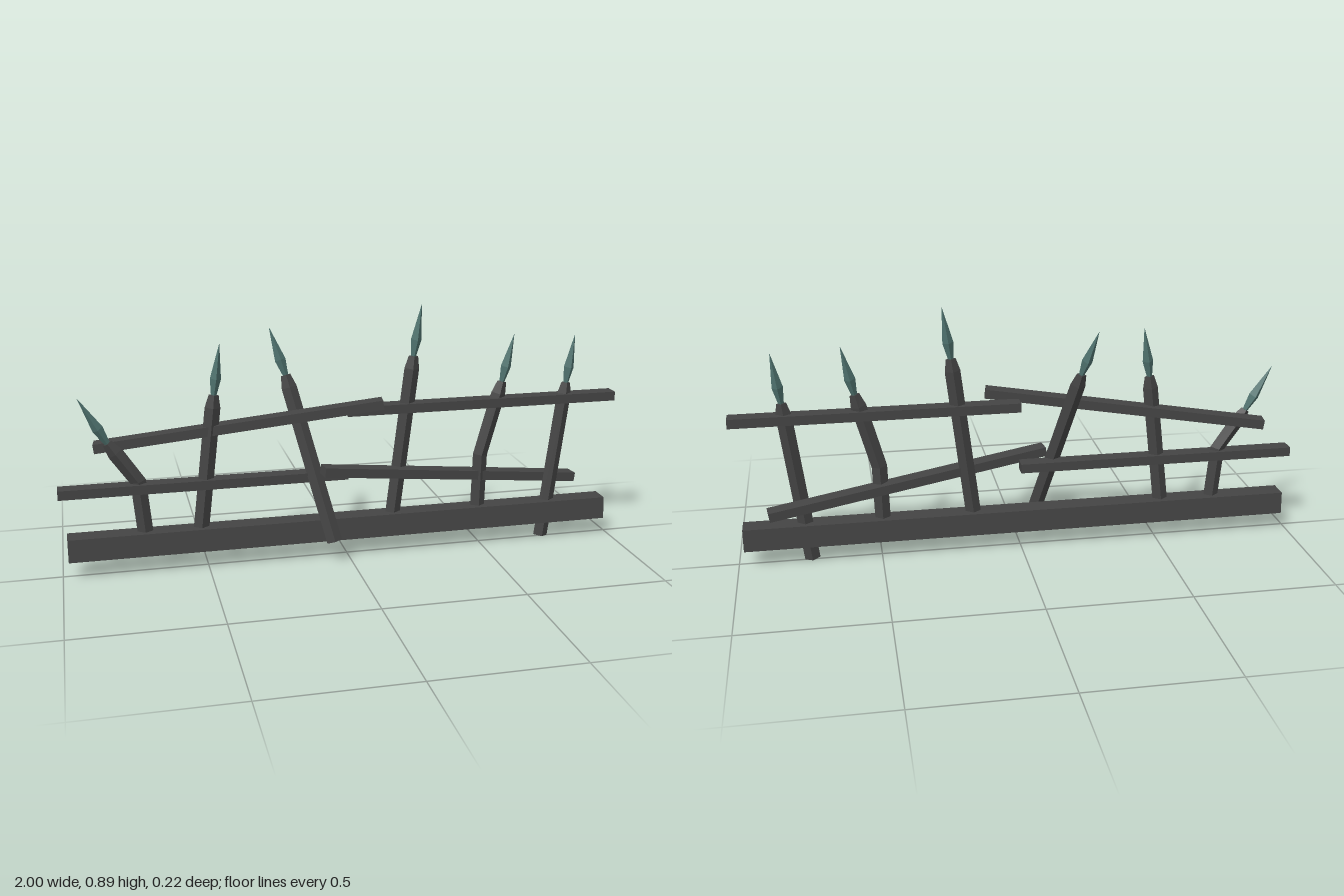
import * as THREE from 'three';

const iron = new THREE.MeshStandardMaterial({ color: 0x444444 });
iron.name = 'darkIron';
const teal = new THREE.MeshStandardMaterial({ color: 0x4e716d });
teal.name = 'tealMetal';

// Four-sided bar through a list of points; radii = [across, depth] at each point
function diamondBar(points, radii) {
  const pts = points.map((p) => new THREE.Vector3(...p));
  const rings = pts.map((p, i) => {
    const dir = pts[Math.min(i + 1, pts.length - 1)].clone().sub(pts[Math.max(i - 1, 0)]).normalize();
    const u = new THREE.Vector3(dir.y, -dir.x, 0).normalize();
    const w = u.clone().cross(dir);
    const [a, b] = radii[i];
    return [[a, 0], [0, -b], [-a, 0], [0, b]].map(([s, t]) =>
      p.clone().addScaledVector(u, s).addScaledVector(w, t));
  });
  const pos = [];
  const tri = (...vs) => vs.forEach((v) => pos.push(v.x, v.y, v.z));
  const quad = (a, b, c, d) => { tri(a, b, c); tri(a, c, d); };
  for (let i = 0; i < rings.length - 1; i++) {
    for (let k = 0; k < 4; k++) {
      const n = (k + 1) % 4;
      quad(rings[i][k], rings[i][n], rings[i + 1][n], rings[i + 1][k]);
    }
  }
  const [a, b, c, d] = rings[0];
  quad(d, c, b, a);
  quad(...rings[rings.length - 1]);
  const geo = new THREE.BufferGeometry();
  geo.setAttribute('position', new THREE.Float32BufferAttribute(pos, 3));
  geo.computeVertexNormals();
  return geo;
}

function add(parent, name, geo, mat) {
  const mesh = new THREE.Mesh(geo, mat);
  mesh.name = name;
  parent.add(mesh);
  return mesh;
}

const lerp = (a, b, t) => a.map((v, i) => v + (b[i] - v) * t);

export function createModel() {
  const group = new THREE.Group();
  group.name = 'spikedFence';

  // Ground beam, slightly narrower at the top
  const beam = new THREE.BoxGeometry(1.956, 0.08, 0.082);
  const bp = beam.attributes.position;
  for (let i = 0; i < bp.count; i++) if (bp.getY(i) > 0) bp.setZ(i, bp.getZ(i) * 0.88);
  beam.computeVertexNormals();
  add(group, 'groundBeam', beam, iron).position.set(0, 0.105, 0);

  // Rails: centre x, centre y, turn about y, turn about z
  const rails = [
    ['upperLeftRail', 0.5, 0.532, 0, 0],
    ['lowerRightRail', -0.5, 0.303, 0, 0],
    ['upperSlantedRail', -0.378, 0.503, -0.13, 0.13],
    ['lowerSlantedRail', 0.393, 0.273, 0.13, -0.13],
  ];
  for (const [name, x, y, ry, rz] of rails) {
    const rail = add(group, name, new THREE.BoxGeometry(1, 0.033, 0.054), iron);
    rail.position.set(x, y, 0);
    rail.rotation.set(0, ry, rz);
  }

  // Posts: path from foot to top, then the tip of the spearhead
  const posts = [
    { path: [[-0.706, 0.058, 0], [-0.73, 0.326, 0], [-0.826, 0.468, 0]], tip: [-0.916, 0.628, 0] },
    { path: [[-0.53, 0.058, 0], [-0.463, 0.615, 0]], tip: [-0.439, 0.79, 0] },
    { path: [[-0.064, 0.082, 0.09], [-0.203, 0.655, -0.066]], tip: [-0.251, 0.816, -0.11] },
    { path: [[0.16, 0.058, 0], [0.24, 0.715, 0]], tip: [0.267, 0.895, 0] },
    { path: [[0.49, 0.058, 0], [0.497, 0.337, 0], [0.571, 0.605, 0]], tip: [0.611, 0.775, 0] },
    { path: [[0.745, 0.004, 0], [0.817, 0.588, 0]], tip: [0.843, 0.763, 0] },
  ];
  posts.forEach(({ path, tip }, i) => {
    const post = new THREE.Group();
    post.name = 'post' + (i + 1);
    group.add(post);
    const top = path[path.length - 1];
    const below = path[path.length - 2];
    const len = new THREE.Vector3(...top).distanceTo(new THREE.Vector3(...below));
    const shoulder = lerp(top, below, 0.045 / len);
    const shaft = [...path.slice(0, -1), shoulder, top];
    const radii = shaft.map((_, k) => (k === shaft.length - 1 ? [0.017, 0.013] : [0.027, 0.02]));
    add(post, 'shaft', diamondBar(shaft, radii), iron);
    // Spearhead: narrow neck, wide belly, sharp point
    const head = [lerp(top, tip, -0.06), lerp(top, tip, 0.32), tip];
    add(post, 'spearhead', diamondBar(head, [[0.008, 0.009], [0.019, 0.022], [0.0005, 0.0005]]), teal);
  });
  return group;
}
